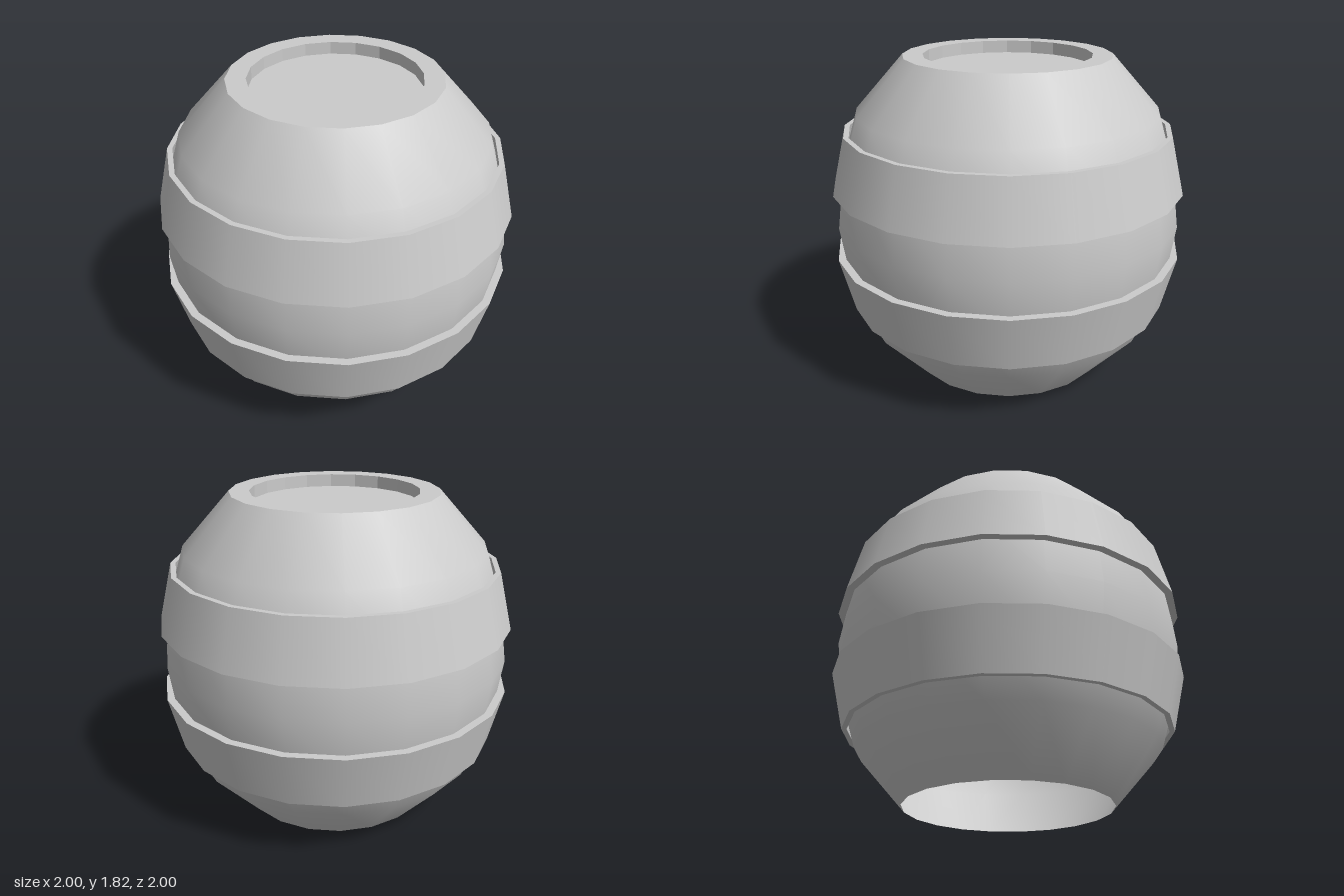
import * as THREE from 'three';
import { mergeGeometries } from 'three/addons/utils/BufferGeometryUtils.js';

const SIDES = 20;
const MID = 0.91; // height of the widest ring

const smooth = new THREE.MeshStandardMaterial({ color: 0xcccccc, side: THREE.DoubleSide });
const faceted = new THREE.MeshStandardMaterial({ color: 0xcccccc, side: THREE.DoubleSide, flatShading: true });

// Revolve a profile of [radius, height] pairs around the y axis
function revolve(profile) {
  return new THREE.LatheGeometry(profile.map(([r, y]) => new THREE.Vector2(r, y)), SIDES);
}

// Revolve each profile segment on its own, so the corners stay sharp
function revolveSharp(profile) {
  return mergeGeometries(profile.slice(1).map((p, i) => revolve([profile[i], p])));
}

function part(name, geometry, material = smooth) {
  const mesh = new THREE.Mesh(geometry, material);
  mesh.name = name;
  return mesh;
}

export function createModel() {
  const group = new THREE.Group();
  group.name = 'barrel';

  // Bulging shell, open at the bottom: half profile mirrored about the middle
  const upper = [[0.94, 1.22], [0.847, 1.52], [0.578, 1.82]];
  const lower = upper.map(([r, y]) => [r, 2 * MID - y]).reverse();
  group.add(part('shell', revolve([...lower, [0.983, MID], ...upper])));

  // Flat rim and sunken lid
  group.add(part('rim', revolve([[0.578, 1.82], [0.467, 1.82]])));
  group.add(part('lid', revolveSharp([[0.467, 1.82], [0.467, 1.75], [0, 1.75]]), faceted));

  // Two tapered hoops, mirrored about the middle
  const hoop = [[1, 1.1], [0.922, 1.42], [0.893, 1.42], [0.935, 1.1], [1, 1.1]];
  const mirrored = hoop.map(([r, y]) => [r, 2 * MID - y]).reverse();
  group.add(part('upperHoop', revolveSharp(hoop)));
  group.add(part('lowerHoop', revolveSharp(mirrored)));

  return group;
}
